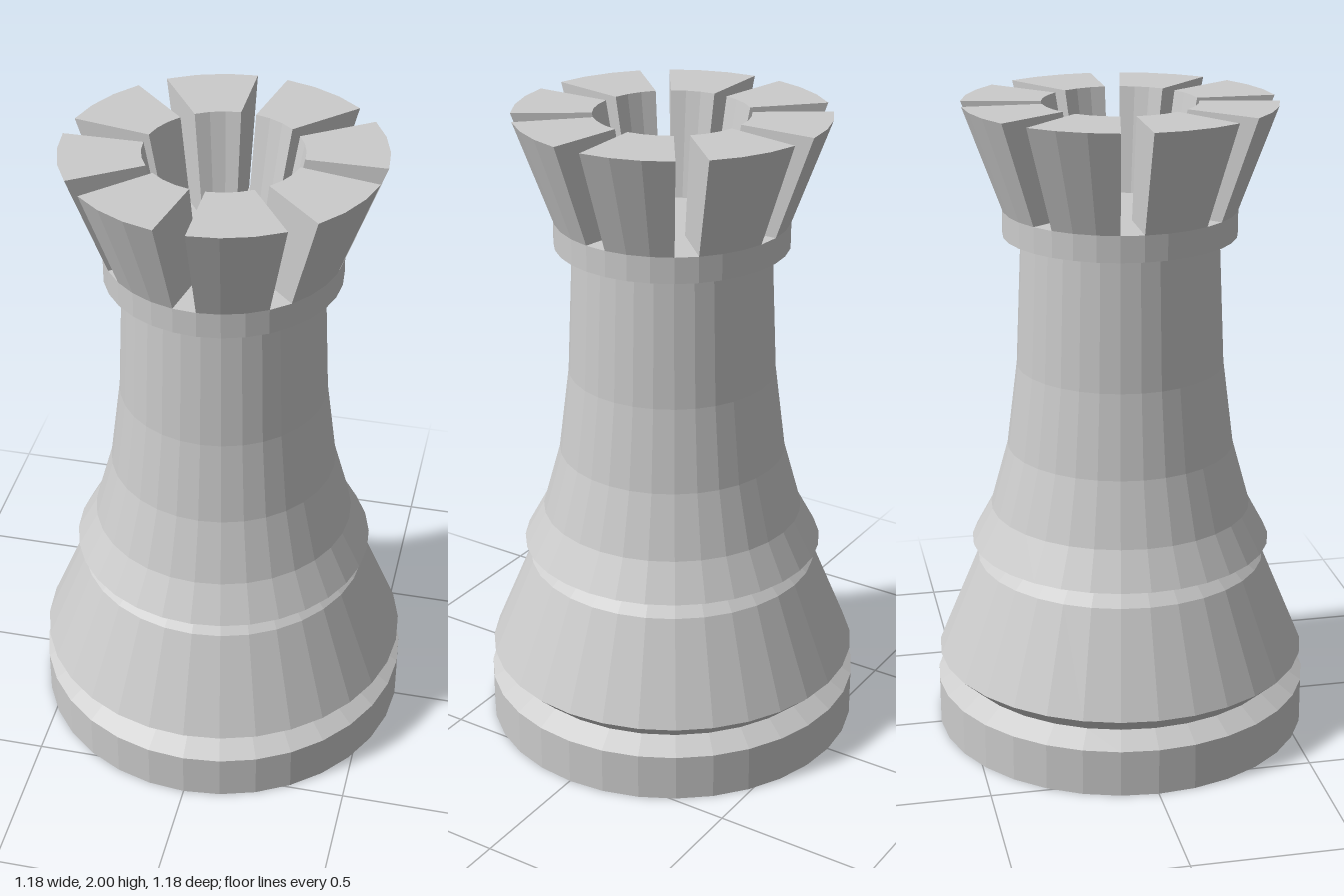
import * as THREE from 'three';
import { mergeGeometries } from 'three/addons/utils/BufferGeometryUtils.js';

const SIDES = 32;
const STEP = (Math.PI * 2) / SIDES;
const vec = ([r, y]) => new THREE.Vector2(r, y);

export function createModel() {
  const group = new THREE.Group();
  const material = new THREE.MeshStandardMaterial({ color: 0xcccccc, flatShading: true });

  const add = (name, geometry) => {
    const mesh = new THREE.Mesh(geometry, material);
    mesh.name = name;
    group.add(mesh);
    return mesh;
  };
  const turned = (name, profile) => add(name, new THREE.LatheGeometry(profile.map(vec), SIDES));

  // Turned body, stacked from the foot up
  turned('foot', [[0, 0], [0.59, 0], [0.59, 0.148], [0.527, 0.19]]);
  turned('lowerSkirt', [[0.527, 0.19], [0.583, 0.243], [0.453, 0.556], [0.408, 0.597]]);
  turned('column', [
    [0.408, 0.597], [0.47, 0.613], [0.408, 0.728], [0.353, 0.927], [0.32, 1.19], [0.302, 1.6],
  ]);
  turned('collar', [[0.302, 1.6], [0.357, 1.6], [0.357, 1.68], [0, 1.68]]);

  // Crown: eight flared blocks, three facets wide, with one-facet slots between
  const section = [[0.357, 1.68], [0.474, 2], [0.235, 2], [0.175, 1.68]].map(vec);
  const width = STEP * 3;

  const endCap = (angle, flip) => {
    const cap = new THREE.ShapeGeometry(new THREE.Shape(section));
    cap.rotateY(angle - Math.PI / 2);
    if (flip) cap.index.array.reverse();
    return cap;
  };
  const block = mergeGeometries([
    new THREE.LatheGeometry([...section, section[0].clone()], 3, 0, width),
    endCap(0, false),
    endCap(width, true),
  ]);
  for (let i = 0; i < 8; i++) {
    add('crownBlock' + (i + 1), block).rotation.y = i * STEP * 4;
  }

  return group;
}
